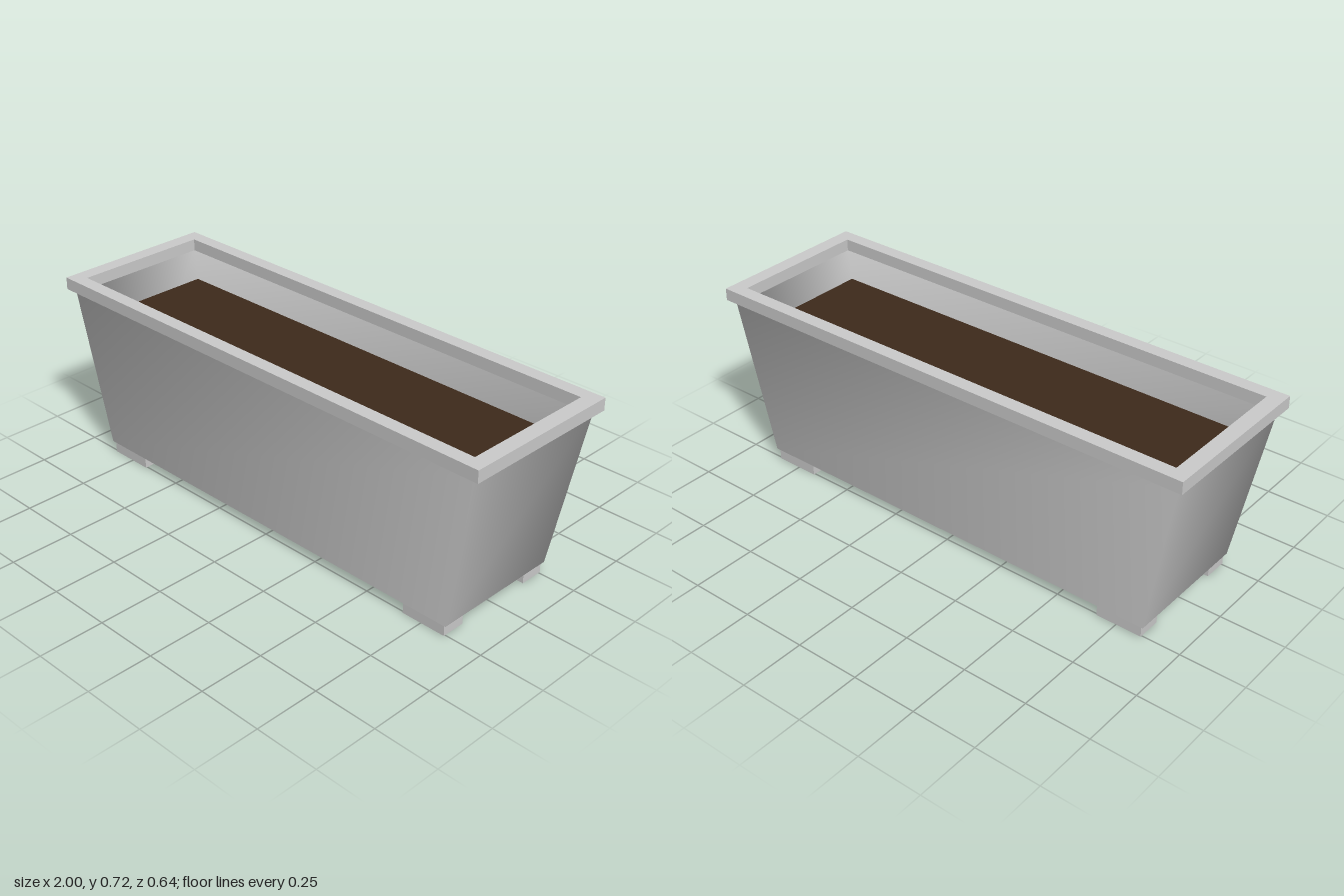
import * as THREE from 'three';

// Closed shell through rectangular cross-sections [halfX, y, halfZ], with shared corners for smooth shading
function rectShell(sections) {
  const pos = [], index = [], n = sections.length;
  for (const [x, y, z] of sections) pos.push(x, y, z, x, y, -z, -x, y, -z, -x, y, z);
  for (let i = 0; i < n; i++) {
    const a = i * 4, b = ((i + 1) % n) * 4;
    for (let j = 0; j < 4; j++) {
      const k = (j + 1) % 4;
      index.push(a + j, a + k, b + k, a + j, b + k, b + j);
    }
  }
  const geo = new THREE.BufferGeometry();
  geo.setAttribute('position', new THREE.Float32BufferAttribute(pos, 3));
  geo.setIndex(index);
  geo.computeVertexNormals();
  return geo;
}

export function createModel() {
  const group = new THREE.Group();
  const grey = new THREE.MeshStandardMaterial({ color: 0xcccccc });
  const brown = new THREE.MeshStandardMaterial({ color: 0x3d2a1b });

  const add = (name, geo, mat, x = 0, y = 0, z = 0) => {
    const mesh = new THREE.Mesh(geo, mat);
    mesh.name = name;
    mesh.position.set(x, y, z);
    group.add(mesh);
    return mesh;
  };

  // Tapered walls: outside up, over the top, inside down, and across the bottom edge
  add('walls', rectShell([
    [0.86, 0.045, 0.263],
    [0.975, 0.676, 0.299],
    [0.942, 0.676, 0.267],
    [0.827, 0.045, 0.231],
  ]), grey);

  // Floor closing the underside
  add('floor', new THREE.BoxGeometry(1.656, 0.03, 0.464), grey, 0, 0.062, 0);

  // Flat rim frame with a rectangular opening
  const frame = new THREE.Shape([[-1, -0.32], [1, -0.32], [1, 0.32], [-1, 0.32]]
    .map(([x, y]) => new THREE.Vector2(x, y)));
  frame.holes.push(new THREE.Path([[-0.942, -0.267], [-0.942, 0.267], [0.942, 0.267], [0.942, -0.267]]
    .map(([x, y]) => new THREE.Vector2(x, y))));
  const rim = new THREE.ExtrudeGeometry(frame, { depth: 0.047, bevelEnabled: false });
  rim.rotateX(-Math.PI / 2);
  add('rim', rim, grey, 0, 0.675, 0);

  // Soil fill
  add('soil', new THREE.BoxGeometry(1.846, 0.02, 0.522), brown, 0, 0.55, 0);

  // Four feet
  const foot = new THREE.BoxGeometry(0.18, 0.046, 0.095);
  for (const sx of [-1, 1])
    for (const sz of [-1, 1])
      add(`${sz > 0 ? 'front' : 'back'}${sx > 0 ? 'Left' : 'Right'}Foot`, foot, grey, sx * 0.76, 0.023, sz * 0.209);

  return group;
}
